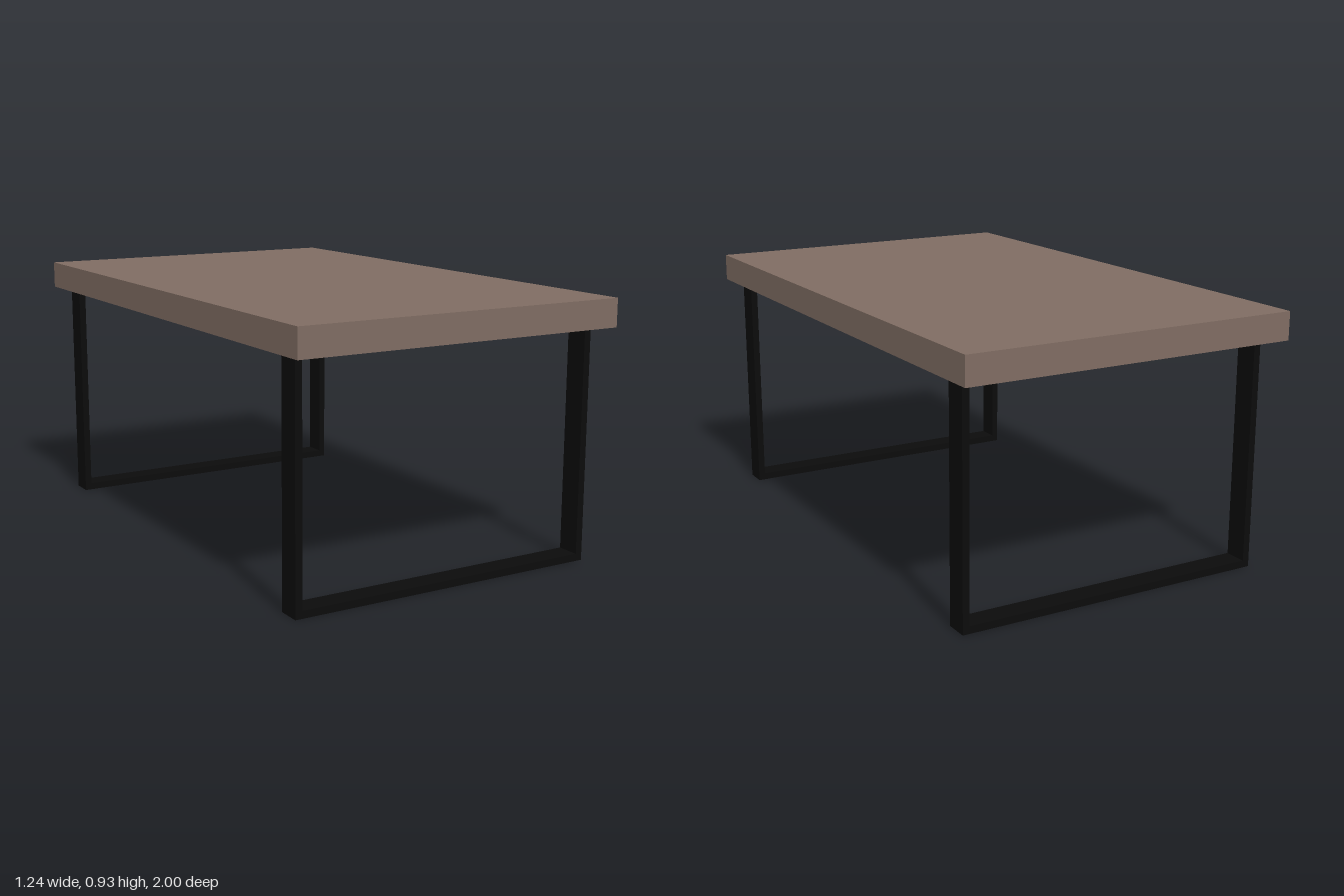
import * as THREE from 'three';

export function createModel() {
  const group = new THREE.Group();
  const wood = new THREE.MeshStandardMaterial({ color: 0x7f6c62 });
  wood.name = 'brown wood';
  const metal = new THREE.MeshStandardMaterial({ color: 0x0b0b0b });
  metal.name = 'black metal';

  // Table top
  const underside = 0.833, thickness = 0.1;
  const top = new THREE.Mesh(new THREE.BoxGeometry(1.236, thickness, 2), wood);
  top.name = 'tableTop';
  top.position.y = underside + thickness / 2;
  group.add(top);

  // U-shaped flat-bar leg frame, open at the top
  const left = -0.58, right = 0.576, bar = 0.025, depth = 0.083;
  const outline = [
    [left, 0], [right, 0.002], [right, underside], [right - bar, underside],
    [right - bar, 0.028], [left + bar, 0.026], [left + bar, underside], [left, underside],
  ].map(([x, y]) => new THREE.Vector2(x, y));
  const frame = new THREE.ExtrudeGeometry(new THREE.Shape(outline), { depth, bevelEnabled: false });

  for (const [name, z] of [['frontLegFrame', 0.837], ['backLegFrame', -0.906]]) {
    const legs = new THREE.Mesh(frame, metal);
    legs.name = name;
    legs.position.z = z;
    group.add(legs);
  }
  return group;
}
